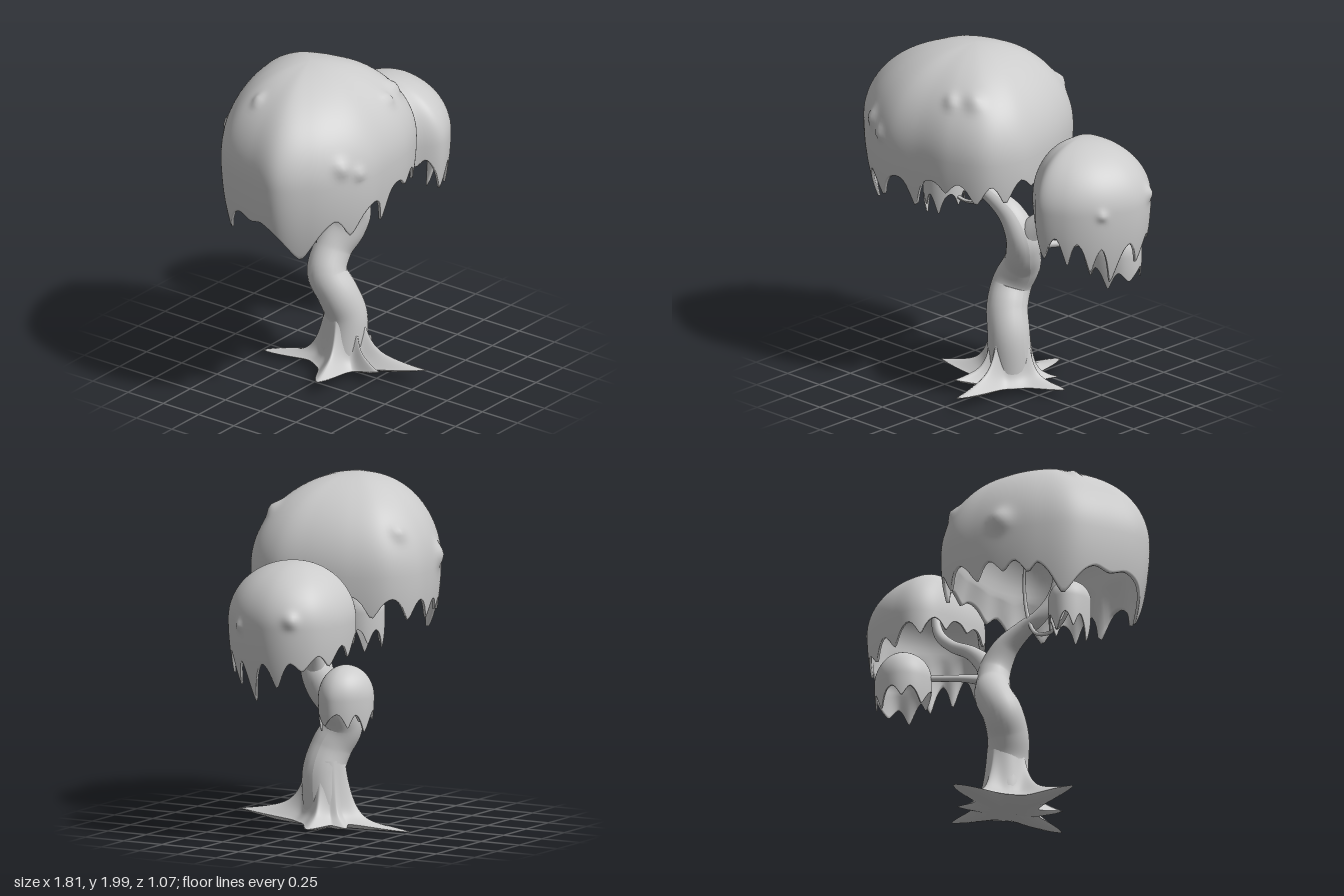
import * as THREE from 'three';

const material = new THREE.MeshStandardMaterial({ color: 0xcccccc, side: THREE.DoubleSide });
const rad = THREE.MathUtils.degToRad;
const lerp = THREE.MathUtils.lerp;

// Smooth skin over rows of points; every row is a closed ring of equal length
function skin(rows) {
  const n = rows[0].length, index = [];
  for (let i = 0; i < rows.length - 1; i++) {
    for (let j = 0; j < n; j++) {
      const k = (j + 1) % n, a = i * n + j, b = i * n + k;
      index.push(a, b, a + n, b, b + n, a + n);
    }
  }
  const geometry = new THREE.BufferGeometry().setFromPoints(rows.flat());
  geometry.setIndex(index);
  geometry.computeVertexNormals();
  return geometry;
}

function addMesh(group, name, geometry) {
  const mesh = new THREE.Mesh(geometry, material);
  mesh.name = name;
  group.add(mesh);
}

// Tapered tube through [x, y, z, radius] stations
function limb(stations, segments = 48, sides = 20) {
  const path = new THREE.CatmullRomCurve3(stations.map(([x, y, z]) => new THREE.Vector3(x, y, z)));
  const radii = new THREE.SplineCurve(stations.map((s, i) => new THREE.Vector2(i, s[3])));
  const geometry = new THREE.TubeGeometry(path, segments, 1, sides);
  const pos = geometry.attributes.position, v = new THREE.Vector3();
  for (let i = 0; i <= segments; i++) {
    const t = path.getUtoTmapping(i / segments);
    const centre = path.getPoint(t), r = radii.getPoint(t).y;
    for (let j = 0; j <= sides; j++) {
      const id = i * (sides + 1) + j;
      v.fromBufferAttribute(pos, id).sub(centre).multiplyScalar(r).add(centre);
      pos.setXYZ(id, v.x, v.y, v.z);
    }
  }
  geometry.computeVertexNormals();
  return geometry;
}

// Signed smallest difference between two angles
const angleGap = (a, b) => Math.atan2(Math.sin(a - b), Math.cos(a - b));

// Hollow dome with a dripping hem; drips are [degrees, tip height, width]
function canopy({ apex, centre, outline, shoulder, hem, tilt = 0, lean, wall, drips, bumps = [], columns = 160 }) {
  const curve = new THREE.CatmullRomCurve3(outline.map(([x, z]) => new THREE.Vector3(x, 0, z)), true);
  const ring = curve.getSpacedPoints(columns).slice(0, columns);
  const angles = ring.map((p) => Math.atan2(p.z - centre[1], p.x - centre[0]));
  // Drips melt into one another along the hem
  const hems = angles.map((a) => {
    const base = hem + tilt * Math.cos(a);
    const sum = drips.reduce((total, [deg, tip, width]) => {
      const fall = Math.exp(-Math.pow(Math.abs(angleGap(a, rad(deg))) / width, 1.6));
      return total + (Math.max(base - tip, 0) * fall) ** 4;
    }, 0);
    return base - sum ** 0.25;
  });
  const point = (j, s, inset) => {
    let y, scale, thin = inset;
    if (s < 0.6) {
      const phi = (s / 0.6) * Math.PI / 2;
      y = shoulder + (apex[1] - inset - shoulder) * Math.cos(phi);
      scale = Math.sin(phi);
    } else {
      const k = (s - 0.6) / 0.4;
      y = lerp(shoulder, hems[j], k);
      scale = 1 - lean * (shoulder - y) ** 2;
      thin *= 1 - 0.75 * k;
    }
    const reach = Math.hypot(ring[j].x - centre[0], ring[j].z - centre[1]);
    scale *= 1 - thin / reach;
    return new THREE.Vector3(lerp(apex[0], ring[j].x, scale), y, lerp(apex[2], ring[j].z, scale));
  };
  // Knobs on the outside, given as [degrees, position down the dome, size]
  const knobs = bumps.map(([deg, s, size]) => {
    let j = 0;
    angles.forEach((a, i) => {
      if (Math.abs(angleGap(a, rad(deg))) < Math.abs(angleGap(angles[j], rad(deg)))) j = i;
    });
    return { at: point(j, s, 0), size };
  });
  const core = new THREE.Vector3(centre[0], shoulder, centre[1]);
  const rows = [], steps = 48;
  for (let i = 0; i <= steps; i++) {
    rows.push(ring.map((_, j) => {
      const p = point(j, i / steps, 0);
      const out = p.clone().sub(core).normalize();
      let push = 0;
      for (const { at, size } of knobs) push += 0.6 * size * Math.exp(-p.distanceToSquared(at) / (size * size));
      return p.addScaledVector(out, push);
    }));
  }
  for (let i = 24; i >= 0; i--) rows.push(ring.map((_, j) => point(j, i / 24, wall)));
  return skin(rows);
}

// Slightly irregular oval for the small canopies
function oval(cx, cz, rx, rz) {
  return Array.from({ length: 12 }, (_, i) => {
    const a = (i / 12) * Math.PI * 2, w = 1 + 0.04 * Math.sin(3 * a + 1);
    return [cx + rx * w * Math.cos(a), cz + rz * w * Math.sin(a)];
  });
}

// Flared trunk foot drawn out into pointed roots: [degrees, reach, tip height, width]
function rootFlare() {
  const roots = [
    [-13, 0.37, 0.05, 0.24], [80, 0.53, 0.09, 0.19], [163, 0.44, 0.09, 0.23],
    [259, 0.51, 0.005, 0.24], [108, 0.36, 0.1, 0.13], [-54, 0.28, 0.04, 0.18],
  ];
  const columns = 180, steps = 30;
  const spokes = Array.from({ length: columns }, (_, j) => {
    const a = (j / columns) * Math.PI * 2;
    let reach = 0.18, tip = 0.05;
    for (const [deg, length, height, width] of roots) {
      const f = Math.exp(-Math.pow(Math.abs(angleGap(a, rad(deg))) / width, 1.35));
      const r = lerp(0.18, length, f);
      if (r > reach) { reach = r; tip = lerp(0.05, height, f); }
    }
    return { a, reach, tip };
  });
  const ringAt = (fn) => spokes.map((s) => {
    const [r, y] = fn(s);
    return new THREE.Vector3(0.02 + r * Math.cos(s.a), y, r * Math.sin(s.a));
  });
  const rows = [];
  for (let i = 0; i <= steps; i++) {
    const t = (i / steps) ** 1.4;
    const drop = 0.75 * (1 - t) ** 8 + 0.25 * (1 - t) ** 1.4;
    rows.push(ringAt((s) => [lerp(0.108, s.reach, t), s.tip + (0.4 - s.tip) * drop]));
  }
  for (const k of [0.85, 0.6, 0.3, 0]) rows.push(ringAt((s) => [s.reach * k, lerp(0.02, s.tip, k * k) - 0.03 * k * (1 - k)]));
  return skin(rows);
}

export function createModel() {
  const tree = new THREE.Group();
  tree.name = 'tree';

  // Winding trunk that runs on into the main branch
  addMesh(tree, 'roots', rootFlare());
  addMesh(tree, 'trunk', limb([
    [0.02, 0.1, 0, 0.13], [0.025, 0.33, 0.015, 0.121], [-0.015, 0.47, -0.015, 0.118], [-0.035, 0.59, -0.075, 0.114],
    [0.035, 0.72, -0.08, 0.108], [0.1, 0.83, -0.025, 0.098], [0.12, 0.93, 0.005, 0.092], [0.06, 1.06, 0.03, 0.074],
    [-0.06, 1.15, 0.06, 0.052], [-0.17, 1.21, 0.09, 0.042], [-0.25, 1.36, 0.13, 0.03], [-0.29, 1.9, 0.1, 0.015],
  ], 120, 28));

  // Branches and twigs
  addMesh(tree, 'leftBranch', limb([
    [0.11, 0.86, 0, 0.07], [0.17, 0.98, -0.01, 0.062], [0.26, 1.08, -0.04, 0.042],
    [0.39, 1.16, -0.07, 0.034], [0.49, 1.27, -0.08, 0.03], [0.53, 1.55, -0.08, 0.015],
  ]));
  addMesh(tree, 'backBranch', limb([
    [0.13, 0.87, -0.03, 0.035], [0.2, 0.865, -0.16, 0.022], [0.3, 0.86, -0.28, 0.018],
    [0.43, 0.87, -0.38, 0.018], [0.47, 0.99, -0.385, 0.015],
  ], 32, 12));
  addMesh(tree, 'hangingTwig', limb([
    [-0.17, 1.6, -0.03, 0.007], [-0.11, 1.36, 0.02, 0.01], [-0.12, 1.2, 0.04, 0.012], [-0.16, 1.1, 0.05, 0.012],
    [-0.26, 1.055, 0.05, 0.011], [-0.36, 1.07, 0.05, 0.011], [-0.44, 1.13, 0.04, 0.011], [-0.46, 1.26, 0.04, 0.01],
  ], 48, 10));

  // Large crown
  addMesh(tree, 'largeCanopy', canopy({
    apex: [-0.27, 2, -0.02], centre: [-0.3, 0],
    outline: [
      [0.27, 0], [0.285, 0.2], [0.2, 0.38], [0, 0.48], [-0.22, 0.51], [-0.43, 0.53], [-0.6, 0.48], [-0.77, 0.37], [-0.9, 0.21],
      [-0.87, 0], [-0.78, -0.24], [-0.63, -0.37], [-0.45, -0.46], [-0.27, -0.51], [-0.08, -0.525], [0.09, -0.44], [0.2, -0.25],
    ],
    shoulder: 1.49, hem: 1.32, tilt: 0.06, lean: 0.6, wall: 0.065,
    drips: [
      [8, 1.3, 0.1], [26, 1.23, 0.09], [42, 1.23, 0.09], [60, 1.28, 0.08], [85, 1.14, 0.09], [116, 1.14, 0.13],
      [148, 1.02, 0.21], [180, 1.22, 0.15], [210, 1.07, 0.19], [235, 1.2, 0.1],
      [254, 1.23, 0.1], [275, 1.21, 0.1], [297, 1.22, 0.09], [320, 1.24, 0.1], [342, 1.32, 0.1],
    ],
    bumps: [
      [43, 0.34, 0.05], [59, 0.35, 0.04], [123, 0.53, 0.045], [112, 0.57, 0.035],
      [195, 0.28, 0.035], [254, 0.56, 0.06], [302, 0.42, 0.045],
    ],
  }));

  // Medium crown
  addMesh(tree, 'mediumCanopy', canopy({
    apex: [0.5, 1.61, -0.08], centre: [0.58, -0.06],
    outline: [
      [0.9, -0.13], [0.87, 0.02], [0.8, 0.15], [0.69, 0.25], [0.54, 0.3], [0.43, 0.22], [0.31, 0.1],
      [0.285, -0.1], [0.3, -0.31], [0.37, -0.4], [0.5, -0.43], [0.64, -0.42], [0.78, -0.36], [0.87, -0.25],
    ],
    shoulder: 1.28, hem: 1.17, tilt: -0.09, lean: 0.9, wall: 0.045,
    drips: [
      [14, 0.84, 0.16], [-20, 0.93, 0.14], [42, 0.92, 0.14], [68, 0.96, 0.11], [93, 0.99, 0.15], [120, 1.15, 0.12],
      [150, 1.18, 0.12], [178, 1.21, 0.12], [208, 1.18, 0.1], [232, 1.13, 0.1], [257, 1.08, 0.13], [285, 1.05, 0.15], [314, 1.03, 0.16],
    ],
    bumps: [[-35, 0.55, 0.04], [30, 0.62, 0.03]],
  }));

  // Small crowns behind the trunk and beneath the large crown
  addMesh(tree, 'backCanopy', canopy({
    apex: [0.46, 1.03, -0.385], centre: [0.465, -0.385], outline: oval(0.465, -0.385, 0.175, 0.152),
    shoulder: 0.85, hem: 0.78, lean: 2.5, wall: 0.03, columns: 96,
    drips: [[15, 0.7, 0.3], [60, 0.65, 0.28], [110, 0.71, 0.22], [180, 0.68, 0.28], [225, 0.71, 0.2], [280, 0.66, 0.28], [325, 0.69, 0.2]],
  }));
  addMesh(tree, 'underCanopy', canopy({
    apex: [-0.45, 1.31, 0.04], centre: [-0.455, 0.04], outline: oval(-0.455, 0.04, 0.122, 0.122),
    shoulder: 1.18, hem: 1.09, lean: 2, wall: 0.025, columns: 96,
    drips: [[5, 1.01, 0.2], [65, 0.96, 0.28], [110, 1.0, 0.2], [155, 0.92, 0.38], [210, 0.99, 0.25], [260, 0.97, 0.28], [315, 1.0, 0.25]],
  }));
  return tree;
}
